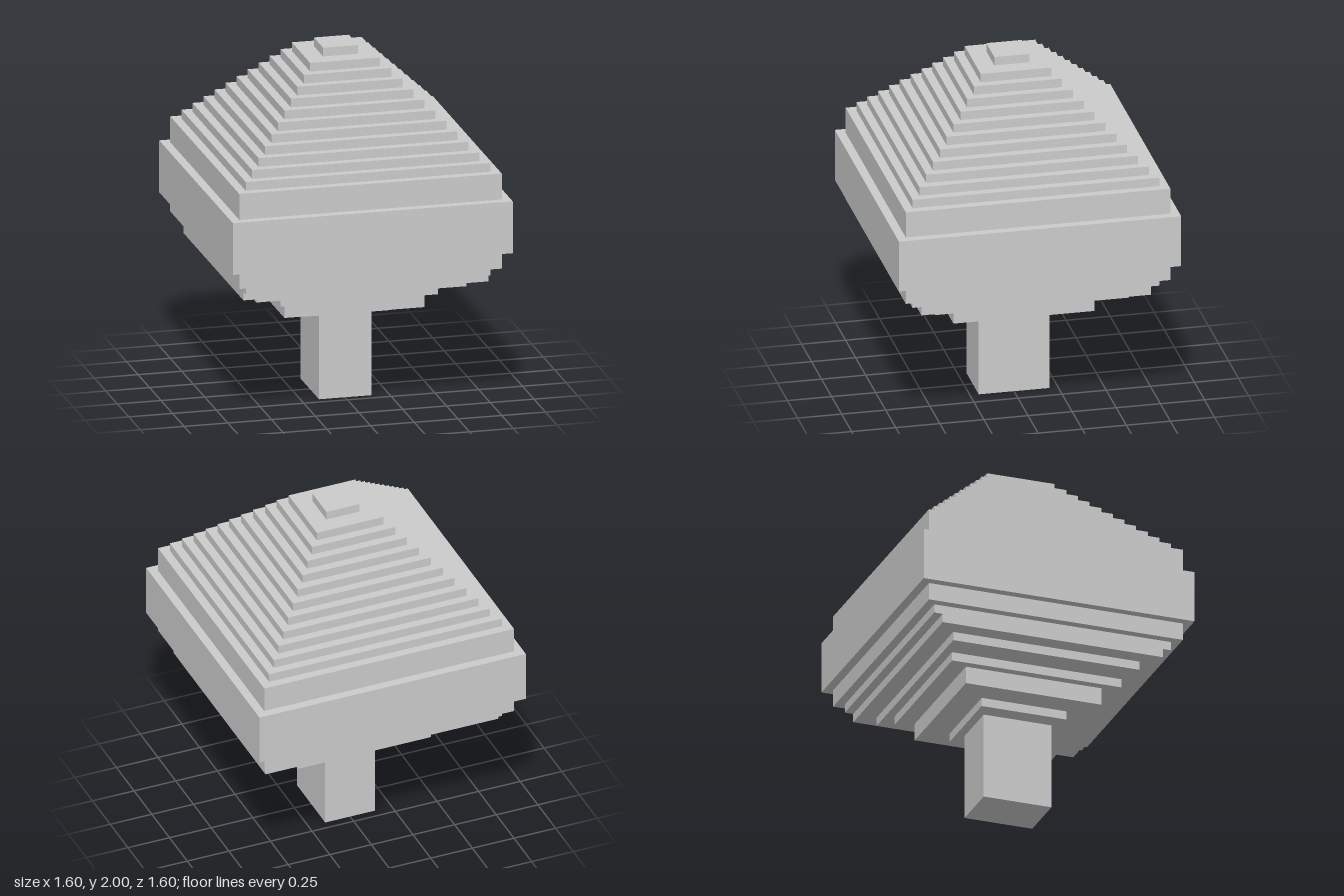
import * as THREE from 'three';

export function createModel() {
  const model = new THREE.Group();
  const material = new THREE.MeshStandardMaterial({ color: 0xcccccc, flatShading: true });

  // A centred slab between two heights, given half width and half depth
  const slab = (name, bottom, top, halfX, halfZ = halfX) => {
    const mesh = new THREE.Mesh(new THREE.BoxGeometry(2 * halfX, top - bottom, 2 * halfZ), material);
    mesh.position.y = (bottom + top) / 2;
    mesh.name = name;
    return mesh;
  };

  model.add(slab('trunk', 0, 0.5, 0.15, 0.2));

  const foliage = new THREE.Group();
  foliage.name = 'foliage';
  model.add(foliage);

  // Underside and broad middle: bottom, top, half width, half depth
  const lowerLayers = [
    [0.5, 0.55, 0.25, 0.25],
    [0.55, 0.65, 0.4, 0.4],
    [0.65, 0.7, 0.45, 0.5],
    [0.7, 0.75, 0.6, 0.55],
    [0.75, 0.8, 0.7, 0.65],
    [0.8, 0.85, 0.7, 0.7],
    [0.85, 0.95, 0.75, 0.75],
    [0.95, 1.25, 0.8, 0.8],
    [1.25, 1.4, 0.75, 0.75],
  ];
  for (const layer of lowerLayers) foliage.add(slab('foliageLayer', ...layer));

  // Regular steps tapering to the top
  const step = 0.05;
  for (let i = 0; i < 11; i++) {
    const y = 1.4 + i * step;
    foliage.add(slab('foliageStep', y, y + step, 0.7 - i * step));
  }
  foliage.add(slab('treeTip', 1.95, 2, 0.1));

  return model;
}
